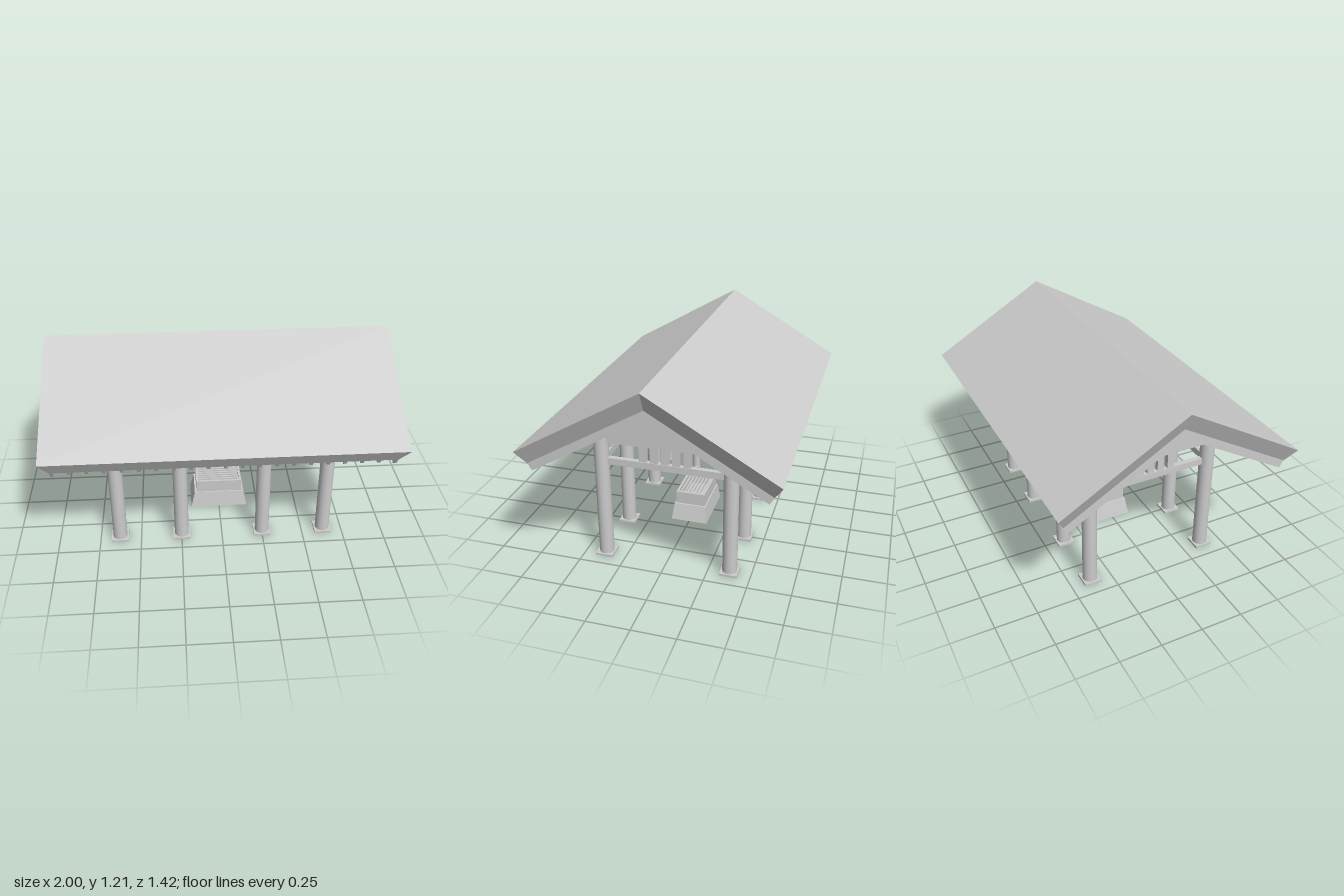
import * as THREE from 'three';

const grey = new THREE.MeshStandardMaterial({ color: 0xcccccc });
const SLOPE = Math.tan(Math.PI / 6);

export function createModel() {
  const model = new THREE.Group();

  function add(name, geometry, x = 0, y = 0, z = 0, parent = model) {
    const mesh = new THREE.Mesh(geometry, grey);
    mesh.name = name;
    mesh.position.set(x, y, z);
    parent.add(mesh);
    return mesh;
  }
  function group(name) {
    const g = new THREE.Group();
    g.name = name;
    model.add(g);
    return g;
  }
  const box = (w, h, d) => new THREE.BoxGeometry(w, h, d);

  // extrude a z/y outline along x, centred on x = 0
  function alongX(points, width) {
    const shape = new THREE.Shape(points.map(([z, y]) => new THREE.Vector2(z, y)));
    const geo = new THREE.ExtrudeGeometry(shape, { depth: width, bevelEnabled: false });
    return geo.translate(0, 0, -width / 2).rotateY(-Math.PI / 2);
  }
  // inverted V following the roof pitch, with ends cut square to the slope
  function chevron(apex, reach, thick, width) {
    const end = apex - reach * SLOPE;
    const inZ = reach - 0.433 * thick, inY = end - 0.75 * thick;
    return alongX([[0, apex], [-reach, end], [-inZ, inY], [0, apex - thick], [inZ, inY], [reach, end]], width);
  }

  // roof slab, its underside drawn in at the gable ends
  const roof = chevron(1.21, 0.71, 0.11, 2);
  const p = roof.attributes.position;
  for (let i = 0; i < p.count; i++) {
    const top = 1.21 - Math.abs(p.getZ(i)) * SLOPE;
    if (p.getY(i) < top - 0.05) p.setX(i, p.getX(i) * 0.95);
  }
  roof.computeVertexNormals();
  add('roof', roof);

  // rafters, with deeper barge boards at both ends
  const rafters = group('rafters');
  for (let k = -10; k <= 10; k++) {
    const barge = Math.abs(k) === 10;
    add(barge ? 'bargeBoard' : 'rafter', chevron(1.1, 0.662, barge ? 0.055 : 0.032, 0.02), k * 0.094, 0, 0, rafters);
  }

  // gable walls and the wall plates on the columns
  for (const s of [-1, 1]) {
    add('gableWall', alongX([[-0.4, 0.763], [0.4, 0.763], [0.4, 0.83], [0, 1.061], [-0.4, 0.83]], 0.04), s * 0.63);
    add('wallPlate', box(1.3, 0.065, 0.05), 0, 0.795, s * 0.375);
  }

  // columns on square footings
  const columns = group('columns');
  for (const x of [-0.63, -0.25, 0.25, 0.63]) {
    for (const z of [-0.375, 0.375]) {
      add('column', new THREE.CylinderGeometry(0.043, 0.043, 0.75, 24), x, 0.388, z, columns);
      add('footing', box(0.104, 0.014, 0.104), x, 0.007, z, columns);
    }
  }

  // rail panel: two beams and five uprights
  function railPanel(length, step, barWidth) {
    const panel = group('railPanel');
    add('upperBeam', box(length, 0.028, 0.03), 0, 0.749, 0, panel);
    add('lowerBeam', box(length, 0.04, 0.03), 0, 0.622, 0, panel);
    for (let i = -2; i <= 2; i++) add('upright', box(barWidth, 0.1, 0.022), i * step, 0.688, 0, panel);
    return panel;
  }
  for (const s of [-1, 1]) {
    const side = railPanel(0.7, 0.064, 0.042);
    side.position.x = s * 0.63;
    side.rotation.y = Math.PI / 2;
    for (const z of [-0.375, 0.375]) railPanel(0.33, 0.034, 0.02).position.set(s * 0.44, 0, z);
    // plain beams across the middle bay
    add('middleUpperBeam', box(0.46, 0.028, 0.03), 0, 0.749, s * 0.375);
    add('middleBeam', box(0.46, 0.027, 0.03), 0, 0.658, s * 0.375);
  }

  // round bell with a rim band and hanging loop
  const bell = group('bell');
  bell.position.set(0, 0.672, 0.065);
  add('bellBody', new THREE.SphereGeometry(0.047, 24, 16), 0, 0, 0, bell).scale.y = 1.2;
  add('bellBand', new THREE.TorusGeometry(0.047, 0.005, 8, 28).rotateX(Math.PI / 2), 0, -0.008, 0, bell);
  add('bellLoop', new THREE.TorusGeometry(0.015, 0.004, 8, 16), 0, 0.068, 0, bell);

  // twisted rope of three strands
  const rope = group('rope');
  for (let s = 0; s < 3; s++) {
    const pts = [];
    for (let i = 0; i <= 36; i++) {
      const a = i * 0.42 + s * Math.PI * 2 / 3;
      pts.push(new THREE.Vector3(0.007 * Math.cos(a), 0.41 + i * 0.0082, 0.007 * Math.sin(a)));
    }
    add('ropeStrand', new THREE.TubeGeometry(new THREE.CatmullRomCurve3(pts), 90, 0.0075, 8), 0, 0, 0, rope);
  }
  // rope grip with rings and a rounded end
  add('grip', new THREE.CylinderGeometry(0.024, 0.024, 0.105, 12), 0, 0.37, 0, rope);
  for (const y of [0.312, 0.3]) add('gripRing', new THREE.TorusGeometry(0.017, 0.007, 8, 20).rotateX(Math.PI / 2), 0, y, 0, rope);
  add('gripEnd', new THREE.SphereGeometry(0.021, 20, 14), 0, 0.282, 0, rope);

  // offering box: tapered plinth, open rim and slatted top
  const offering = group('offeringBox');
  const plinth = box(0.36, 0.105, 0.23);
  const q = plinth.attributes.position;
  for (let i = 0; i < q.count; i++) {
    if (q.getY(i) > 0) q.setXYZ(i, q.getX(i) * 0.87, q.getY(i), q.getZ(i) * 0.88);
  }
  plinth.computeVertexNormals();
  add('plinth', plinth, 0, 0.0525, 0, offering);
  for (const s of [-1, 1]) {
    add('longWall', box(0.29, 0.08, 0.014), 0, 0.145, s * 0.086, offering);
    add('shortWall', box(0.014, 0.08, 0.158), s * 0.138, 0.145, 0, offering);
  }
  for (let i = -3; i <= 3; i++) add('slat', box(0.264, 0.014, 0.01), 0, 0.166, i * 0.0225, offering);

  return model;
}
